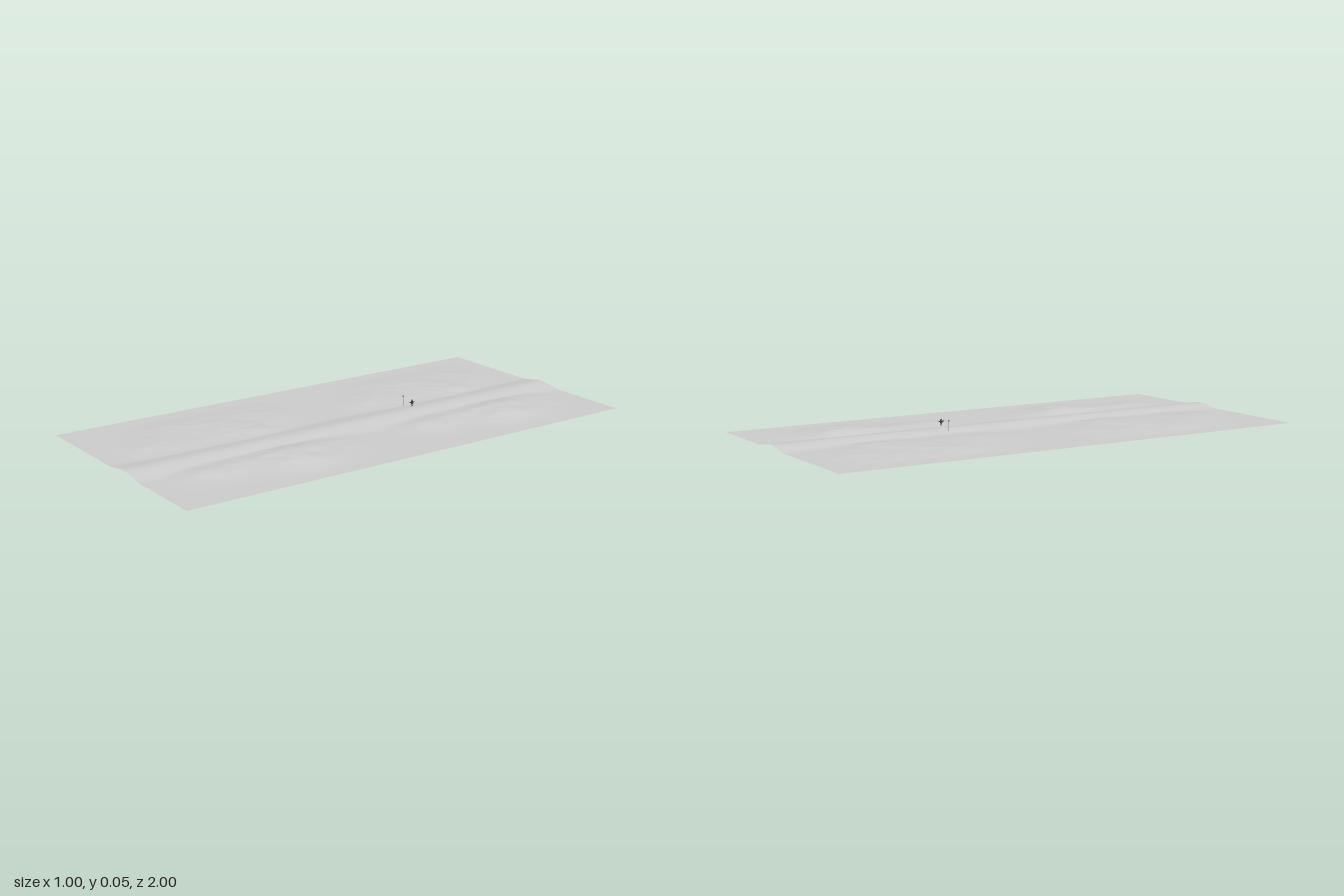
import * as THREE from 'three';

// Seeded lattice value for the relief noise
function lattice(i, j) {
  const s = Math.sin(i * 127.1 + j * 311.7 + 4.3) * 43758.5453;
  return s - Math.floor(s);
}

function noise(x, z) {
  const i = Math.floor(x), j = Math.floor(z);
  const u = THREE.MathUtils.smoothstep(x - i, 0, 1);
  const v = THREE.MathUtils.smoothstep(z - j, 0, 1);
  return THREE.MathUtils.lerp(
    THREE.MathUtils.lerp(lattice(i, j), lattice(i + 1, j), u),
    THREE.MathUtils.lerp(lattice(i, j + 1), lattice(i + 1, j + 1), u), v);
}

// Hills in one tile: x, z, radius x, radius z, height
const hills = [
  [-0.12, -0.10, 0.14, 0.24, 0.013],
  [-0.15, 0.22, 0.17, 0.20, 0.011],
  [-0.28, -0.08, 0.14, 0.24, 0.010],
  [-0.26, -0.30, 0.16, 0.14, 0.007],
  [-0.32, 0.12, 0.11, 0.16, 0.006],
  [0.20, -0.08, 0.10, 0.24, 0.018],
  [0.31, -0.10, 0.12, 0.20, 0.014],
  [0.22, 0.22, 0.12, 0.18, 0.012],
  [0.22, -0.30, 0.13, 0.14, 0.006],
];

// Height over a tile whose local x and z run from -0.5 to 0.5
function height(x, z) {
  const across = Math.max(0, 1 - Math.abs(x - 0.06) / 0.125);
  const bank = 0.015 * THREE.MathUtils.smoothstep(across, 0, 1);
  let hill = 0;
  for (const [cx, cz, rx, rz, h] of hills) {
    hill += h * Math.exp(-2 * (((x - cx) / rx) ** 2 + ((z - cz) / rz) ** 2));
  }
  const edge = THREE.MathUtils.smoothstep(0.49 - Math.abs(x), 0, 0.12)
    * THREE.MathUtils.smoothstep(0.49 - Math.abs(z), 0, 0.12);
  const rough = 0.72 + 0.36 * noise(x * 13, z * 11) + 0.24 * noise(x * 30, z * 26);
  hill *= edge * rough;
  // The central bank stays smooth between the hills
  const clear = THREE.MathUtils.smoothstep(Math.abs(x - 0.06), 0.02, 0.1);
  return Math.min(0.027, Math.max(bank, hill * clear + bank * 0.35));
}

function tileGeometry() {
  const geometry = new THREE.PlaneGeometry(1, 1, 100, 100).rotateX(-Math.PI / 2);
  const p = geometry.attributes.position;
  for (let i = 0; i < p.count; i++) p.setY(i, height(p.getX(i), p.getZ(i)));
  geometry.computeVertexNormals();
  return geometry;
}

export function createModel() {
  const model = new THREE.Group();
  model.name = 'terrain';
  const ground = new THREE.MeshStandardMaterial({ color: 0xcccccc, side: THREE.DoubleSide });
  ground.name = 'ground grey';
  const dark = new THREE.MeshStandardMaterial({ color: 0x3c3c3c });
  dark.name = 'figure dark grey';
  const steel = new THREE.MeshStandardMaterial({ color: 0x8a929a });
  steel.name = 'post steel';

  const add = (parent, name, geometry, material, x, y, z) => {
    const mesh = new THREE.Mesh(geometry, material);
    mesh.name = name;
    mesh.position.set(x, y, z);
    parent.add(mesh);
    return mesh;
  };

  // Two matching ground tiles end to end
  const tile = tileGeometry();
  add(model, 'frontTile', tile, ground, 0, 0, 0.5);
  add(model, 'backTile', tile, ground, 0, 0, -0.5);

  // Tiny standing figure with its arms held out
  const figure = new THREE.Group();
  figure.name = 'figure';
  figure.position.set(0.057, 0.025, -0.295);
  model.add(figure);
  add(figure, 'torso', new THREE.BoxGeometry(0.005, 0.010, 0.008), dark, 0, 0.015, 0);
  add(figure, 'head', new THREE.SphereGeometry(0.0027, 10, 8), dark, 0, 0.0245, 0);
  add(figure, 'arms', new THREE.BoxGeometry(0.013, 0.0025, 0.003), dark, 0, 0.0195, 0);
  for (const side of [-1, 1]) {
    add(figure, 'leg', new THREE.CylinderGeometry(0.0015, 0.0013, 0.011, 8), dark, 0.0012, 0.0055, side * 0.0028);
    add(figure, 'sideArm', new THREE.BoxGeometry(0.003, 0.0025, 0.009), dark, 0, 0.017, side * 0.007);
  }

  // Slim post with a small cap
  const post = new THREE.Group();
  post.name = 'post';
  post.position.set(-0.002, 0, -0.295);
  model.add(post);
  add(post, 'shaft', new THREE.CylinderGeometry(0.001, 0.001, 0.038, 8), steel, 0, 0.032, 0);
  add(post, 'cap', new THREE.BoxGeometry(0.006, 0.006, 0.003), steel, 0, 0.052, 0);

  return model;
}
